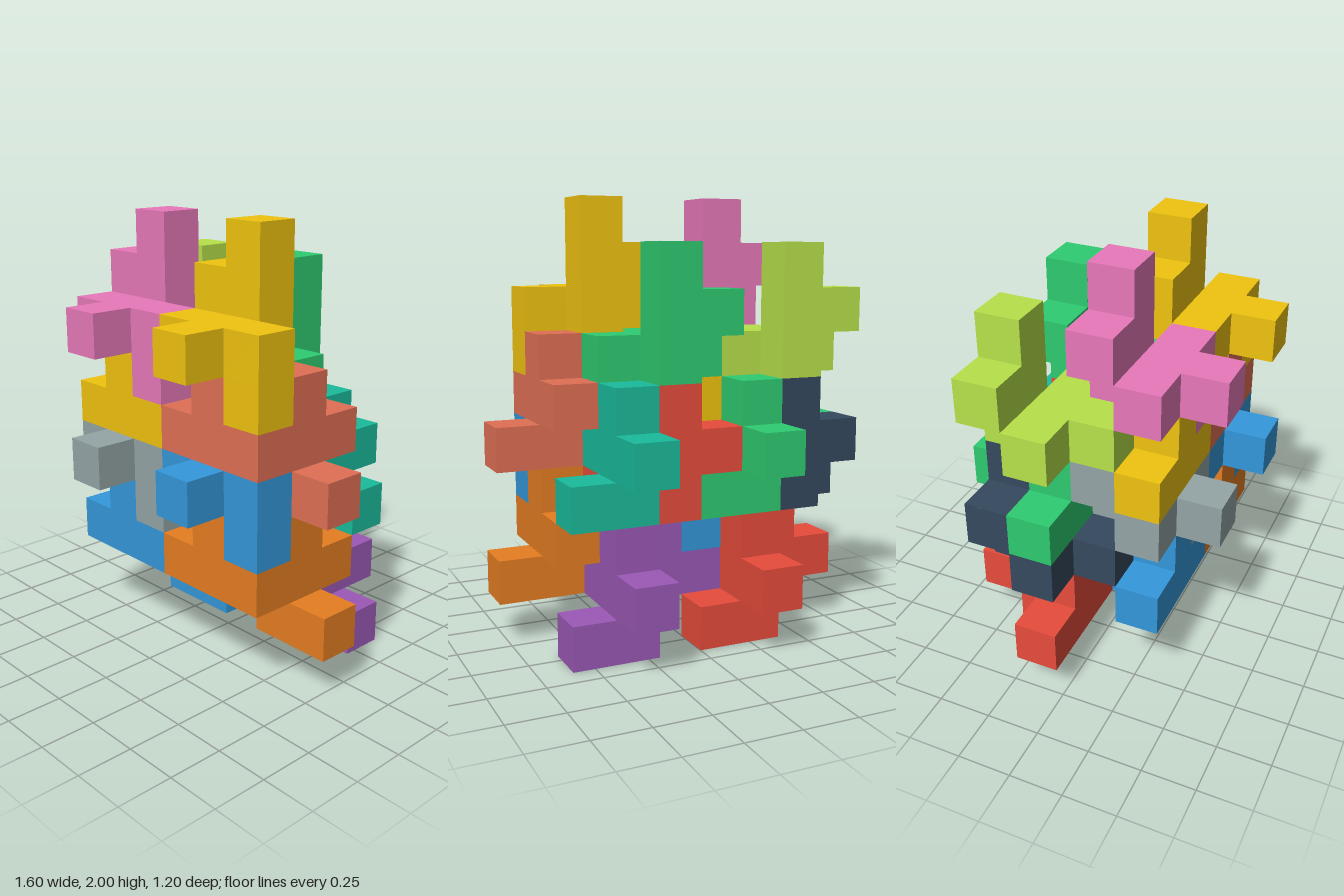
import * as THREE from 'three';
import { mergeGeometries } from 'three/addons/utils/BufferGeometryUtils.js';

const S = 0.2; // edge of one cube

// Nine-cube puzzle piece, as offsets from its centre cube
const UPRIGHT = [
  [0, 0, 0], [-1, 0, 0], [1, 0, 0], [0, 0, 1], [0, 0, -1],
  [1, -1, 0], [0, 1, -1], [0, 2, -1], [-1, 1, -1],
];
// The same piece given a half turn about a diagonal
const TURNED = UPRIGHT.map(([x, y, z]) => [-y, -x, -z]);

const DIRECTIONS = [[1, 0, 0], [-1, 0, 0], [0, 1, 0], [0, -1, 0], [0, 0, 1], [0, 0, -1]];

// Outer skin of a piece: one square for each cube side with no neighbour
function pieceGeometry(cells) {
  const filled = new Set(cells.map(String));
  const squares = [];
  for (const cell of cells) {
    for (const dir of DIRECTIONS) {
      if (filled.has(String(cell.map((v, a) => v + dir[a])))) continue;
      const square = new THREE.PlaneGeometry(S, S);
      square.lookAt(new THREE.Vector3(...dir));
      square.translate(...cell.map((v, a) => (v + dir[a] / 2) * S));
      squares.push(square);
    }
  }
  return mergeGeometries(squares);
}

// name, colour, centre cube on the grid (column, level, depth)
const UPRIGHT_PIECES = [
  ['yellowTopPiece', 0xf1c40f, 5, 7, 4],
  ['pinkPiece', 0xe879ba, 2, 7, 4],
  ['blueMiddlePiece', 0x3498db, 5, 4, 4],
  ['greyPiece', 0x95a5a6, 2, 4, 4],
  ['greenTopPiece', 0x2ecc71, 4, 6, 2],
  ['limePiece', 0xb8e24a, 1, 6, 2],
  ['redMiddlePiece', 0xe74c3c, 4, 3, 2],
  ['darkPiece', 0x34495e, 1, 3, 2],
];
const TURNED_PIECES = [
  ['orangePiece', 0xe67e22, 6, 2, 3],
  ['blueLowerPiece', 0x3498db, 3, 2, 3],
  ['salmonPiece', 0xe17055, 6, 5, 3],
  ['yellowMiddlePiece', 0xf1c40f, 3, 5, 3],
  ['tealPiece', 0x1abc9c, 5, 4, 1],
  ['greenMiddlePiece', 0x2ecc71, 2, 4, 1],
  ['purplePiece', 0x9b59b6, 5, 1, 1],
  ['redLowerPiece', 0xe74c3c, 2, 1, 1],
];

export function createModel() {
  const model = new THREE.Group();
  model.name = 'interlockingCubePuzzle';

  const addPieces = (list, cells) => {
    const geometry = pieceGeometry(cells);
    for (const [name, color, column, level, depth] of list) {
      const piece = new THREE.Mesh(geometry, new THREE.MeshStandardMaterial({ color }));
      piece.name = name;
      piece.position.set((column - 3.5) * S, (level + 0.5) * S, (depth - 2.5) * S);
      model.add(piece);
    }
  };
  addPieces(UPRIGHT_PIECES, UPRIGHT);
  addPieces(TURNED_PIECES, TURNED);
  return model;
}
